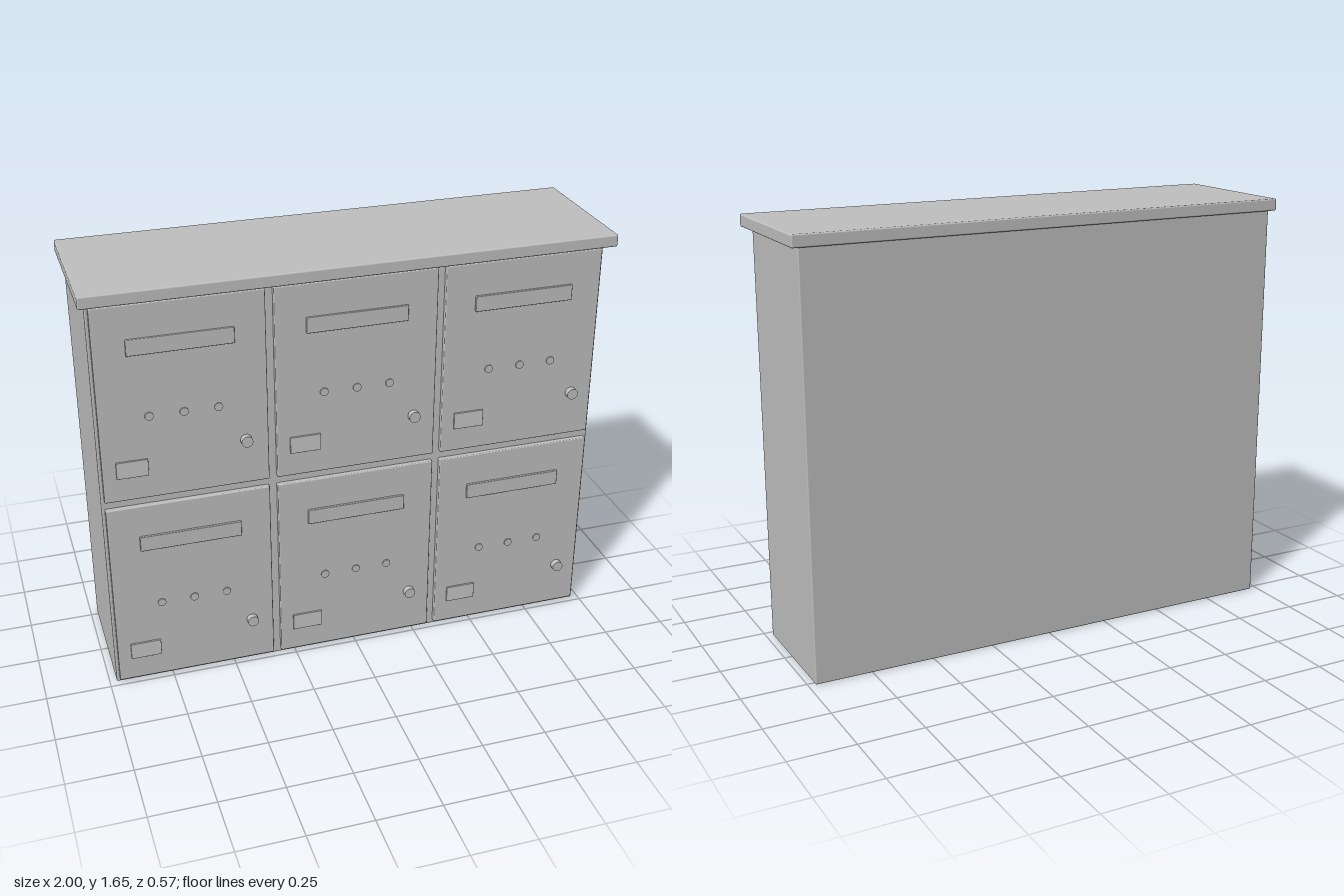
import * as THREE from 'three';
import { RoundedBoxGeometry } from 'three/addons/geometries/RoundedBoxGeometry.js';

const metal = new THREE.MeshStandardMaterial({ color: 0xbfbfbf });
metal.name = 'grey metal';
const label = new THREE.MeshStandardMaterial({ color: 0xc6c6c6 });
label.name = 'pale label';

// Box given by its limits on each axis, with softly rounded edges
function box(name, [x0, x1], [y0, y1], [z0, z1], radius, material = metal) {
  const geometry = new RoundedBoxGeometry(x1 - x0, y1 - y0, z1 - z0, 2, radius);
  const mesh = new THREE.Mesh(geometry, material);
  mesh.name = name;
  mesh.position.set((x0 + x1) / 2, (y0 + y1) / 2, (z0 + z1) / 2);
  return mesh;
}

// Short cylinder pointing forwards
function disc(name, x, y, z0, z1, radius) {
  const geometry = new THREE.CylinderGeometry(radius, radius, z1 - z0, 24);
  geometry.rotateX(Math.PI / 2);
  const mesh = new THREE.Mesh(geometry, metal);
  mesh.name = name;
  mesh.position.set(x, y, (z0 + z1) / 2);
  return mesh;
}

// One compartment door; its origin is the middle of its lower edge
function createDoor() {
  const door = new THREE.Group();
  door.name = 'mailboxDoor';
  door.add(box('doorPanel', [-0.31, 0.31], [0, 0.768], [0.22, 0.245], 0.004));
  door.add(box('letterFlap', [-0.194, 0.194], [0.578, 0.64], [0.235, 0.254], 0.003));
  door.add(box('namePlate', [-0.26, -0.142], [0.096, 0.163], [0.24, 0.252], 0.001, label));

  // Row of three small studs
  for (const x of [-0.127, 0, 0.127]) {
    door.add(disc('stud', x, 0.333, 0.24, 0.25, 0.016));
  }

  // Lock: collar, barrel and a raised key bar
  door.add(disc('lockCollar', 0.223, 0.184, 0.24, 0.252, 0.018));
  door.add(disc('lockBarrel', 0.223, 0.184, 0.25, 0.272, 0.022));
  return door;
}

export function createModel() {
  const model = new THREE.Group();
  model.name = 'mailboxBank';

  model.add(box('cabinet', [-0.973, 0.973], [0, 1.61], [-0.27, 0.225], 0.005));
  model.add(box('roof', [-1, 1], [1.605, 1.652], [-0.285, 0.285], 0.006));

  // Three columns by two rows of doors
  for (const y of [0.018, 0.82]) {
    for (const x of [-0.651, 0, 0.651]) {
      const door = createDoor();
      door.position.set(x, y, 0);
      model.add(door);
    }
  }
  return model;
}
